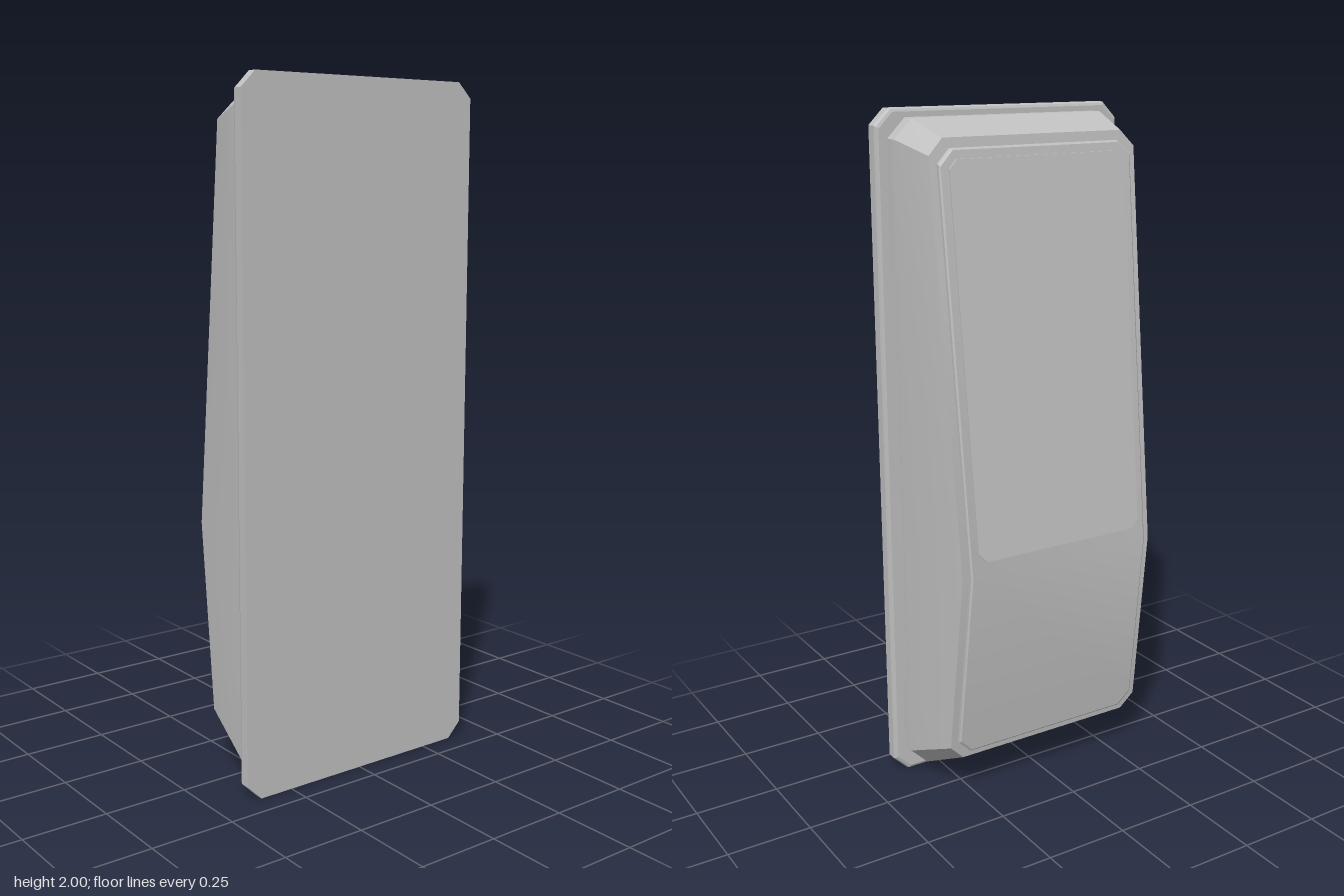
import * as THREE from 'three';
import { toCreasedNormals } from 'three/addons/utils/BufferGeometryUtils.js';

const grey = new THREE.MeshStandardMaterial({ color: 0xc0c0c0 });
grey.name = 'light grey';

const KINK = 0.73;
const lerp = THREE.MathUtils.lerp;

// x of the bent front face at a given height
const frontX = (y) => y > KINK
  ? lerp(-0.164, -0.03, (y - KINK) / (1.93 - KINK))
  : lerp(-0.164, -0.09, (KINK - y) / (KINK - 0.13));

// half width that is narrowest at the bend
const waist = (mid, end) => (y) => lerp(mid, end, Math.min(1, Math.abs(y - KINK) / (y > KINK ? 1.2 : 0.6)));

// chamfered outline: up the +z side, then down the mirrored -z side
function ring(x, half, lo, hi, c, knots = []) {
  const xf = typeof x === 'function' ? x : () => x;
  const hf = typeof half === 'function' ? half : () => half;
  const side = [[lo, c], [lo + c, 0], ...knots.map((y) => [y, 0]), [hi - c, 0], [hi, c]]
    .map(([y, inset]) => new THREE.Vector3(xf(y), y, hf(y) - inset));
  const mirror = side.map((p) => new THREE.Vector3(p.x, p.y, -p.z)).reverse();
  return [...side, ...mirror];
}

// skin over rings ordered from back (+x) to face (-x)
function loft(name, rings, backCap = false) {
  const pos = [];
  const quad = (a, b, c, d) => [a, b, c, a, c, d].forEach((p) => pos.push(p.x, p.y, p.z));
  const n = rings[0].length;
  for (let r = 0; r < rings.length - 1; r++) {
    const a = rings[r], b = rings[r + 1];
    for (let i = 0; i < n; i++) {
      const j = (i + 1) % n;
      quad(a[i], a[j], b[j], b[i]);
    }
  }
  const face = rings[rings.length - 1], back = rings[0];
  for (let i = 0; i < n / 2 - 1; i++) {
    quad(face[i], face[i + 1], face[n - 2 - i], face[n - 1 - i]);
    if (backCap) quad(back[n - 1 - i], back[n - 2 - i], back[i + 1], back[i]);
  }
  const geo = new THREE.BufferGeometry();
  geo.setAttribute('position', new THREE.Float32BufferAttribute(pos, 3));
  const mesh = new THREE.Mesh(toCreasedNormals(geo, 0.25), grey);
  mesh.name = name;
  return mesh;
}

function box(name, x0, x1, y0, y1, halfZ) {
  const mesh = new THREE.Mesh(new THREE.BoxGeometry(x1 - x0, y1 - y0, halfZ * 2), grey);
  mesh.position.set((x0 + x1) / 2, (y0 + y1) / 2, 0);
  mesh.name = name;
  return mesh;
}

export function createModel() {
  const model = new THREE.Group();
  model.name = 'wallUnit';

  // flat mounting plate with a softened face edge
  model.add(loft('backPlate', [
    ring(0.18, 0.4, 0, 2, 0.045),
    ring(0.15, 0.4, 0, 2, 0.045),
    ring(0.143, 0.397, 0.003, 1.997, 0.045),
    ring(0.14, 0.39, 0.01, 1.99, 0.043),
  ], true));

  // housing, its back edge cut away along both sides
  const knots = [0.31, 0.322, KINK, 1.553, 1.565];
  const notched = (y) => (y > 0.315 && y < 1.56 ? 0.115 : 0.142);
  model.add(loft('housing', [
    ring(notched, 0.365, 0.03, 1.975, 0.055, knots),
    ring(0.1, 0.365, 0.03, 1.975, 0.055, knots),
    ring(frontX, waist(0.325, 0.335), 0.13, 1.93, 0.045, knots),
  ]));

  // floor and lip of the side slots
  model.add(box('slotFloor', 0.09, 0.145, 0.3, 1.575, 0.345));
  model.add(box('slotLip', 0.1, 0.115, 0.3, 1.575, 0.3645));

  // raised bent front panel
  const panelX = (d) => (y) => frontX(y) - d;
  model.add(loft('frontPanel', [
    ring(panelX(-0.01), waist(0.303, 0.313), 0.152, 1.903, 0.04, [KINK]),
    ring(panelX(0.009), waist(0.303, 0.313), 0.152, 1.903, 0.04, [KINK]),
    ring(panelX(0.013), waist(0.298, 0.308), 0.157, 1.898, 0.04, [KINK]),
  ]));

  // thin screen on the upper slope
  model.add(loft('screen', [
    ring(panelX(0.008), waist(0.276, 0.285), 0.775, 1.875, 0.025),
    ring(panelX(0.018), waist(0.276, 0.285), 0.775, 1.875, 0.025),
  ]));

  return model;
}
